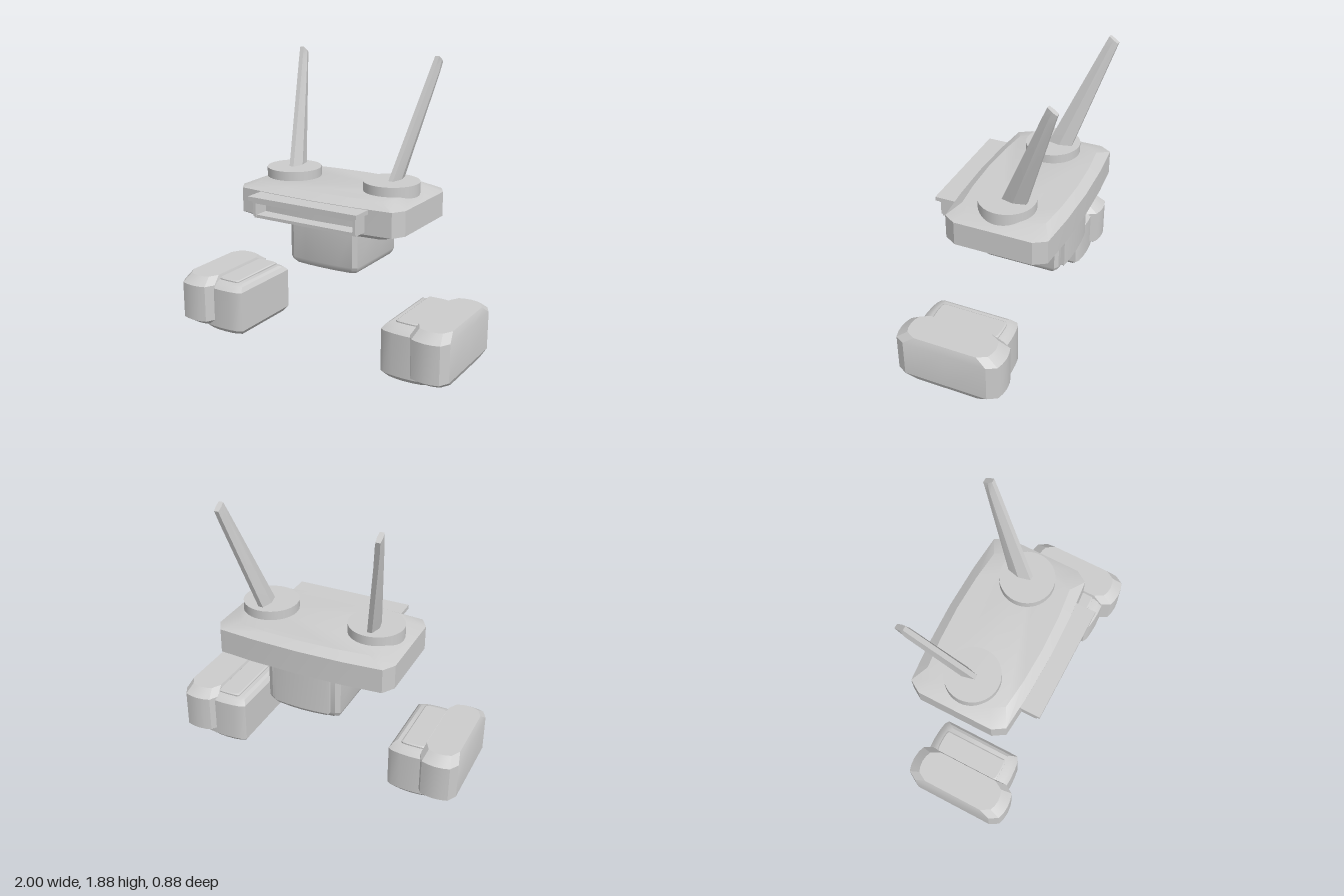
import * as THREE from 'three';
import { toCreasedNormals } from 'three/addons/utils/BufferGeometryUtils.js';

const grey = new THREE.MeshStandardMaterial({ color: 0xcccccc });
grey.name = 'light grey';

// Skin a stack of closed rings (anticlockwise from above, bottom to top) and cap both ends
function loft(rings, crease = 0.4) {
  const n = rings[0].length, pos = [], idx = [];
  rings.forEach(r => r.forEach(p => pos.push(...p)));
  for (let l = 0; l < rings.length - 1; l++) {
    for (let i = 0; i < n; i++) {
      const a = l * n + i, b = l * n + (i + 1) % n;
      idx.push(a, b, b + n, a, b + n, a + n);
    }
  }
  const top = (rings.length - 1) * n;
  for (let i = 1; i < n - 1; i++) idx.push(0, i + 1, i, top, top + i, top + i + 1);
  const g = new THREE.BufferGeometry();
  g.setAttribute('position', new THREE.Float32BufferAttribute(pos, 3));
  g.setIndex(idx);
  return toCreasedNormals(g, crease);
}

// Plan outline with clipped corners and gently bowed front and back
function outline(y, w, d, cx, cz, bow) {
  const q = [[w, 0], [w, -(d - cz)], [w - cx, -(d - bow)], [(w - cx) * 0.55, -(d - bow * 0.3)], [0, -d]];
  const flip = (list, sx, sz) => list.map(([x, z]) => [x * sx, y, z * sz]);
  const back = [...q].reverse();
  return [
    ...flip(q, 1, 1), ...flip(back.slice(1), -1, 1),
    ...flip(q.slice(1), -1, -1), ...flip(back.slice(1, 4), 1, -1),
  ];
}

// Bevelled block; levels are [y, inset in x, inset in z]
function block(w, d, cx, cz, bow, levels) {
  return loft(levels.map(([y, ix, iz]) => outline(y, w - ix, d - iz, cx, cz, bow)));
}

function add(parent, name, geometry, x = 0, y = 0, z = 0) {
  const m = new THREE.Mesh(geometry, grey);
  m.name = name;
  m.position.set(x, y, z);
  parent.add(m);
  return m;
}

const box = (w, h, d) => new THREE.BoxGeometry(w, h, d);

// Six-sided section of an antenna: front and back edge positions, centre x, widths
function bladeSection(cx, front, back, wide, narrow) {
  const [zf, yf] = front, [zb, yb] = back;
  const zm = (zf + zb) / 2, ym = (yf + yb) / 2;
  return [
    [cx + wide, ym, zm], [cx + narrow, yb, zb], [cx - narrow, yb, zb],
    [cx - wide, ym, zm], [cx - narrow, yf, zf], [cx + narrow, yf, zf],
  ];
}

export function createModel() {
  const model = new THREE.Group();

  // Head slab
  add(model, 'head', block(0.6, 0.365, 0.05, 0.11, 0.03, [
    [0.83, 0.11, 0.06], [0.87, 0, 0], [1.03, 0, 0], [1.07, 0.11, 0.06],
  ]), 0, 0, -0.075);

  // Visor: overhanging brow and an open slot frame
  const visor = new THREE.Group();
  visor.name = 'visor';
  model.add(visor);
  add(visor, 'visorBrow', box(0.79, 0.027, 0.21), 0, 1.0135, 0.305);
  add(visor, 'visorUpperStep', box(0.75, 0.02, 0.13), 0, 0.993, 0.325);
  add(visor, 'visorLip', box(0.75, 0.02, 0.17), 0, 0.895, 0.29);
  for (const s of [-1, 1]) {
    add(visor, 'visorSide', box(0.02, 0.1, 0.18), s * 0.365, 0.945, 0.295);
  }

  // Torso with rounded lower edges and a raised back panel
  add(model, 'torso', block(0.25, 0.27, 0.03, 0.03, 0.012, [
    [0.54, 0.045, 0.045], [0.548, 0.022, 0.022], [0.565, 0.008, 0.008], [0.59, 0, 0], [0.85, 0, 0],
  ]), 0, 0, -0.095);
  add(model, 'backPanel', block(0.19, 0.03, 0.015, 0.015, 0.012, [
    [0.57, 0.02, 0.012], [0.59, 0, 0], [0.85, 0, 0],
  ]), 0, 0, -0.365);

  for (const s of [-1, 1]) {
    // Antenna on its round base
    add(model, 'antennaBase', new THREE.CylinderGeometry(0.18, 0.18, 0.12, 40), s * 0.367, 1.07, -0.07);
    add(model, 'antenna', loft([
      bladeSection(s * 0.365, [-0.02, 1.08], [-0.185, 1.08], 0.036, 0.016),
      bladeSection(s * 0.495, [-0.345, 1.81], [-0.41, 1.765], 0.029, 0.015),
      bladeSection(s * 0.507, [-0.377, 1.88], [-0.435, 1.84], 0.018, 0.014),
    ], 0.3));

    // Foot: outer shell, inner block and a low top plate
    const foot = new THREE.Group();
    foot.name = s > 0 ? 'leftFoot' : 'rightFoot';
    model.add(foot);
    add(foot, 'footShell', block(0.128, 0.36, 0.035, 0.08, 0.018, [
      [0.045, 0.022, 0.07], [0.09, 0, 0], [0.34, 0, 0], [0.39, 0.018, 0.07],
    ]), s * 0.87, 0, 0.075);
    add(foot, 'footBlock', block(0.16, 0.298, 0.03, 0.03, 0.012, [
      [0, 0.045, 0.06], [0.012, 0.024, 0.03], [0.045, 0, 0],
      [0.32, 0, 0], [0.348, 0.02, 0.03], [0.36, 0.04, 0.06],
    ]), s * 0.69, 0, 0.065);
    add(foot, 'footTopPlate', block(0.08, 0.23, 0.012, 0.012, 0.004, [
      [0.35, 0, 0], [0.368, 0, 0], [0.374, 0.008, 0.008],
    ]), s * 0.68, 0, 0.055);
  }

  return model;
}
